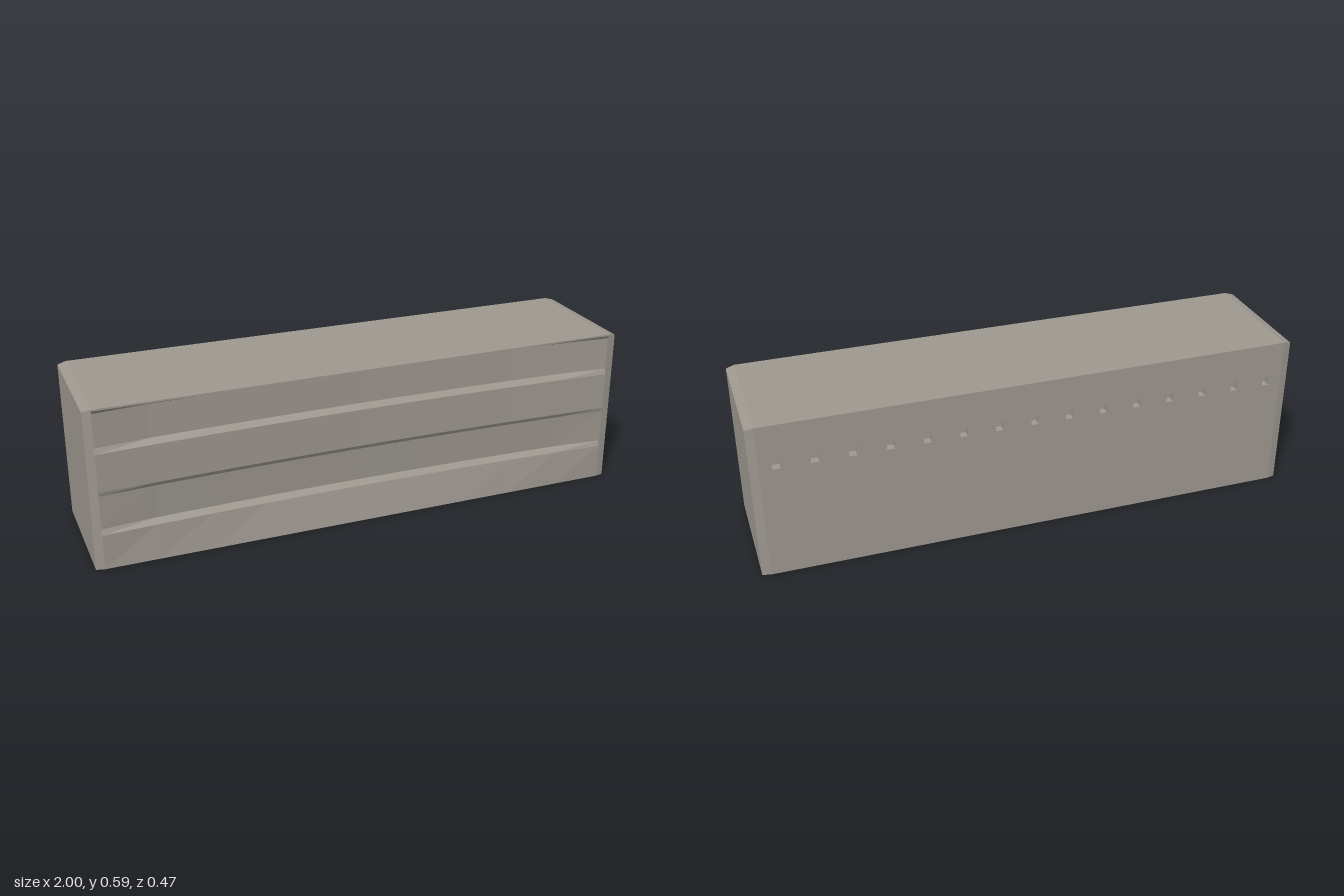
import * as THREE from 'three';

const H = 0.59, D = 0.235, X = 0.97;      // height, half depth, start of the end chamfers
const H_END = 0.583, D_END = 0.228;       // height and half depth at the end faces

// Flat-shaded sheet: point(u, v) over two lists, facing u x v
function sheet(us, vs, point) {
  const pos = [];
  const put = (i, j) => pos.push(...point(us[i], vs[j]));
  for (let i = 0; i < us.length - 1; i++) {
    for (let j = 0; j < vs.length - 1; j++) {
      put(i, j); put(i + 1, j); put(i + 1, j + 1);
      put(i, j); put(i + 1, j + 1); put(i, j + 1);
    }
  }
  const g = new THREE.BufferGeometry();
  g.setAttribute('position', new THREE.Float32BufferAttribute(pos, 3));
  g.computeVertexNormals();
  return g;
}

// Outline of the body along x, tapering slightly at both ends
const halfDepth = x => (Math.abs(x) > X ? D_END : D);
const height = x => (Math.abs(x) > X ? H_END : H);

export function createModel() {
  const group = new THREE.Group();
  const concrete = new THREE.MeshStandardMaterial({ color: 0x9e9890 });
  const add = (name, geometry) => {
    const mesh = new THREE.Mesh(geometry, concrete);
    mesh.name = name;
    group.add(mesh);
    return mesh;
  };

  // Top, bottom and end faces
  const along = [-1, -X, X, 1];
  add('top', sheet(along, [1, -1], (x, s) => [x, height(x), s * halfDepth(x)]));
  add('bottom', sheet(along, [-1, 1], (x, s) => [x, 0, s * halfDepth(x)]));
  for (const side of [-1, 1]) {
    add(side > 0 ? 'leftEnd' : 'rightEnd',
      sheet([side, -side], [0, H_END], (s, y) => [side, y, s * D_END]));
    // Chamfers beside the front and back faces
    for (const face of [-1, 1]) {
      const xs = side * face > 0 ? [X, 1] : [1, X];
      add('endChamfer', sheet(xs, [0, 1], (x, t) =>
        [side * x, t * height(x), face * halfDepth(x)]));
    }
  }

  // Front: gently hollow along its length, with two recessed bands
  const rows = [
    // y, share of the hollow, extra recess
    [0, 0, 0], [0.13, 1, 0], [0.15, 1, 0.015], [0.275, 1, 0.008], [0.29, 1, 0],
    [0.43, 1, 0], [0.45, 1, 0.015], [0.572, 1, 0.015], [0.584, 0, 0], [H, 0, 0],
  ];
  const stations = [-X, -0.78, -0.58, -0.39, -0.19, 0, 0.19, 0.39, 0.58, 0.78, X];
  const frontPoint = (x, [y, hollow, recess]) => {
    const curve = 0.025 * (1 - (x / X) ** 2);
    const depth = Math.abs(x) < X ? recess : recess * 0.5;
    return [x, y, D - hollow * curve - depth];
  };
  add('frontPanel', sheet(stations, rows, frontPoint));
  // Thin walls closing the recess at each end
  for (const side of [-1, 1]) {
    add('recessEndWall', sheet(side > 0 ? [0, 1] : [1, 0], rows, (t, row) =>
      (t ? [side * X, row[0], D] : frontPoint(side * X, row))));
  }

  // Back face with a row of small square pockets
  const w = 0.028, h = 0.034, pocketY = 0.44, pocketDepth = 0.03;
  const back = new THREE.Shape([
    new THREE.Vector2(-X, 0), new THREE.Vector2(X, 0),
    new THREE.Vector2(X, H), new THREE.Vector2(-X, H),
  ]);
  // Inward-facing box without its outer face
  const pocket = new THREE.BoxGeometry(w, h, pocketDepth);
  pocket.setIndex(Array.from(pocket.index.array).slice(0, 30));
  pocket.clearGroups();
  pocket.scale(-1, 1, 1);
  pocket.computeVertexNormals();
  for (let i = -7; i <= 7; i++) {
    const x = i * 0.13;
    back.holes.push(new THREE.Path([
      new THREE.Vector2(x - w / 2, pocketY - h / 2), new THREE.Vector2(x - w / 2, pocketY + h / 2),
      new THREE.Vector2(x + w / 2, pocketY + h / 2), new THREE.Vector2(x + w / 2, pocketY - h / 2),
    ]));
    add('backPocket', pocket).position.set(x, pocketY, -D + pocketDepth / 2);
  }
  const backMesh = add('backPanel', new THREE.ShapeGeometry(back));
  backMesh.rotation.y = Math.PI;
  backMesh.position.z = -D;

  return group;
}
